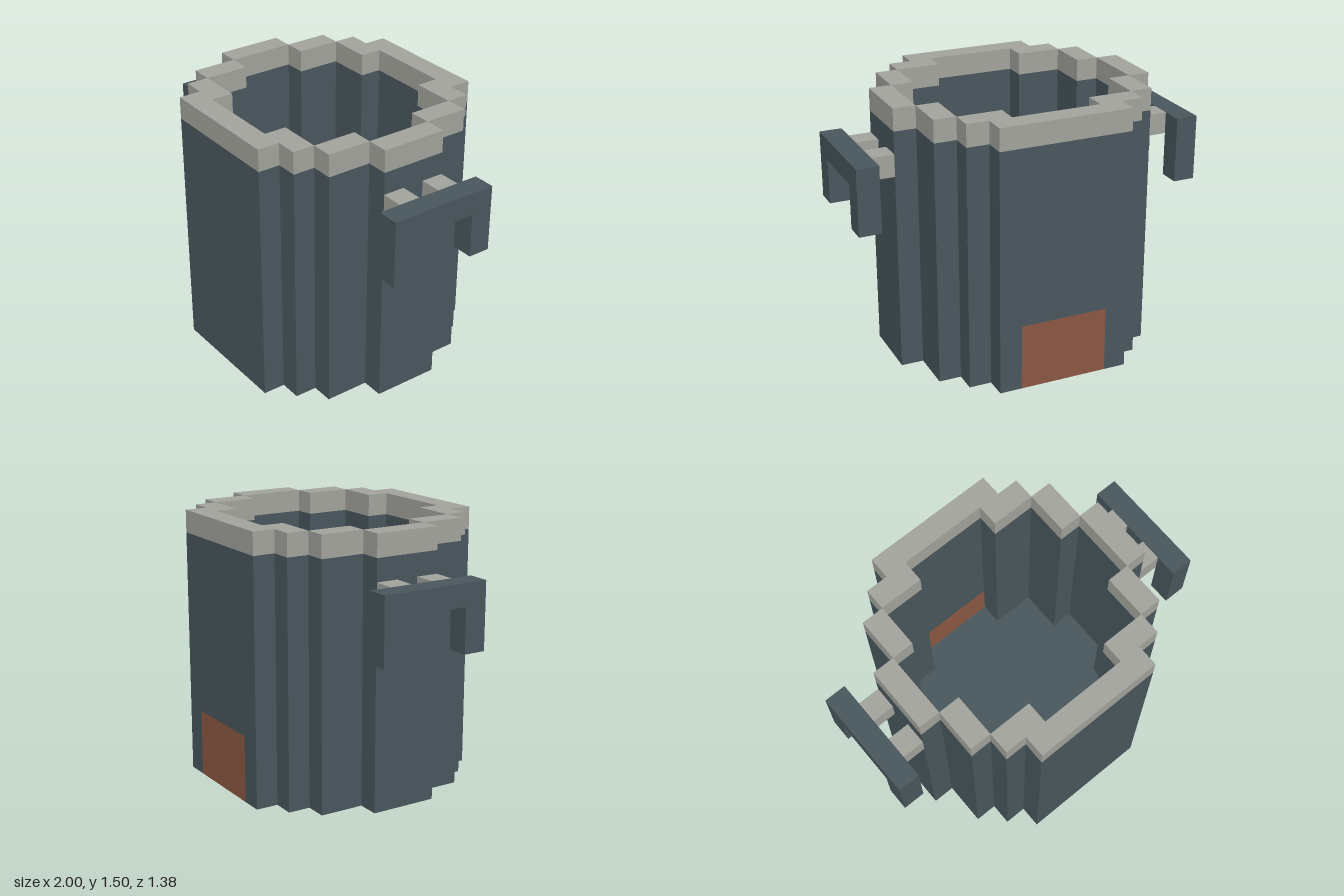
import * as THREE from 'three';

// Quarter outlines as [x, z], from the back edge round to the side
const OUTER = [[0.375, 0.6875], [0.375, 0.5625], [0.5, 0.5625], [0.5, 0.4375],
  [0.625, 0.4375], [0.625, 0.1875], [0.75, 0.1875]];
const INNER = [[0.25, 0.5625], [0.25, 0.4375], [0.5, 0.4375], [0.5, 0.1875], [0.625, 0.1875]];

// Mirror a quarter outline into a full loop that starts and ends at the back
function loop(quarter) {
  const half = [
    ...quarter.map(([x, z]) => [x, -z]),
    ...quarter.slice().reverse(),
  ];
  return [...half, ...half.slice().reverse().map(([x, z]) => [-x, z])]
    .map(([x, z]) => new THREE.Vector2(x, z));
}

// Upright slab from a plan outline, between two heights
function slab(name, points, hole, y0, y1, material) {
  const shape = new THREE.Shape(points);
  if (hole) shape.holes.push(new THREE.Path(hole));
  const geo = new THREE.ExtrudeGeometry(shape, { depth: y1 - y0, bevelEnabled: false });
  geo.rotateX(Math.PI / 2).translate(0, y1, 0);
  const mesh = new THREE.Mesh(geo, material);
  mesh.name = name;
  return mesh;
}

// Box from its minimum and maximum corners
function box(name, [x0, y0, z0], [x1, y1, z1], material) {
  const mesh = new THREE.Mesh(new THREE.BoxGeometry(x1 - x0, y1 - y0, z1 - z0), material);
  mesh.position.set((x0 + x1) / 2, (y0 + y1) / 2, (z0 + z1) / 2);
  mesh.name = name;
  return mesh;
}

export function createModel() {
  const iron = new THREE.MeshStandardMaterial({ name: 'dark iron', color: 0x48565c });
  const steel = new THREE.MeshStandardMaterial({ name: 'pale steel', color: 0xa1a29b });
  const copper = new THREE.MeshStandardMaterial({ name: 'copper', color: 0x8a5741 });

  const model = new THREE.Group();
  model.name = 'pot';
  const outer = loop(OUTER);
  const inner = loop(INNER);
  const v = (x, z) => new THREE.Vector2(x, z);

  // Floor and lower wall leave a gap at the back for the copper panel
  const backL = v(0.25, -0.6875), backR = v(-0.25, -0.6875);
  model.add(slab('floor', [backL, ...outer, backR, v(-0.25, -0.5625), v(0.25, -0.5625)],
    null, 0, 0.125, iron));
  model.add(slab('lowerWall', [backL, ...outer, backR, ...inner.slice().reverse()],
    null, 0.125, 0.375, iron));
  model.add(slab('upperWall', outer, inner, 0.375, 1.375, iron));
  model.add(slab('rim', outer, inner, 1.375, 1.5, steel));
  model.add(box('backPanel', [-0.25, 0, -0.6875], [0.25, 0.375, -0.5625], copper));

  // Arched handles, each held by two pegs
  const arch = [[-0.3125, 0.875], [-0.1875, 0.875], [-0.1875, 1.125], [0.1875, 1.125],
    [0.1875, 0.875], [0.3125, 0.875], [0.3125, 1.25], [-0.3125, 1.25]].map(([a, b]) => v(a, b));
  for (const side of [1, -1]) {
    const handle = new THREE.Group();
    handle.name = side > 0 ? 'leftHandle' : 'rightHandle';
    const geo = new THREE.ExtrudeGeometry(new THREE.Shape(arch), { depth: 0.125, bevelEnabled: false });
    geo.rotateY(Math.PI / 2).translate(0.875, 0, 0);
    const grip = new THREE.Mesh(geo, iron);
    grip.name = 'grip';
    handle.add(grip);
    for (const z of [-0.1875, 0.0625]) {
      handle.add(box('peg', [0.75, 1.125, z], [0.875, 1.25, z + 0.125], steel));
    }
    handle.rotation.y = side > 0 ? 0 : Math.PI;
    model.add(handle);
  }
  return model;
}
